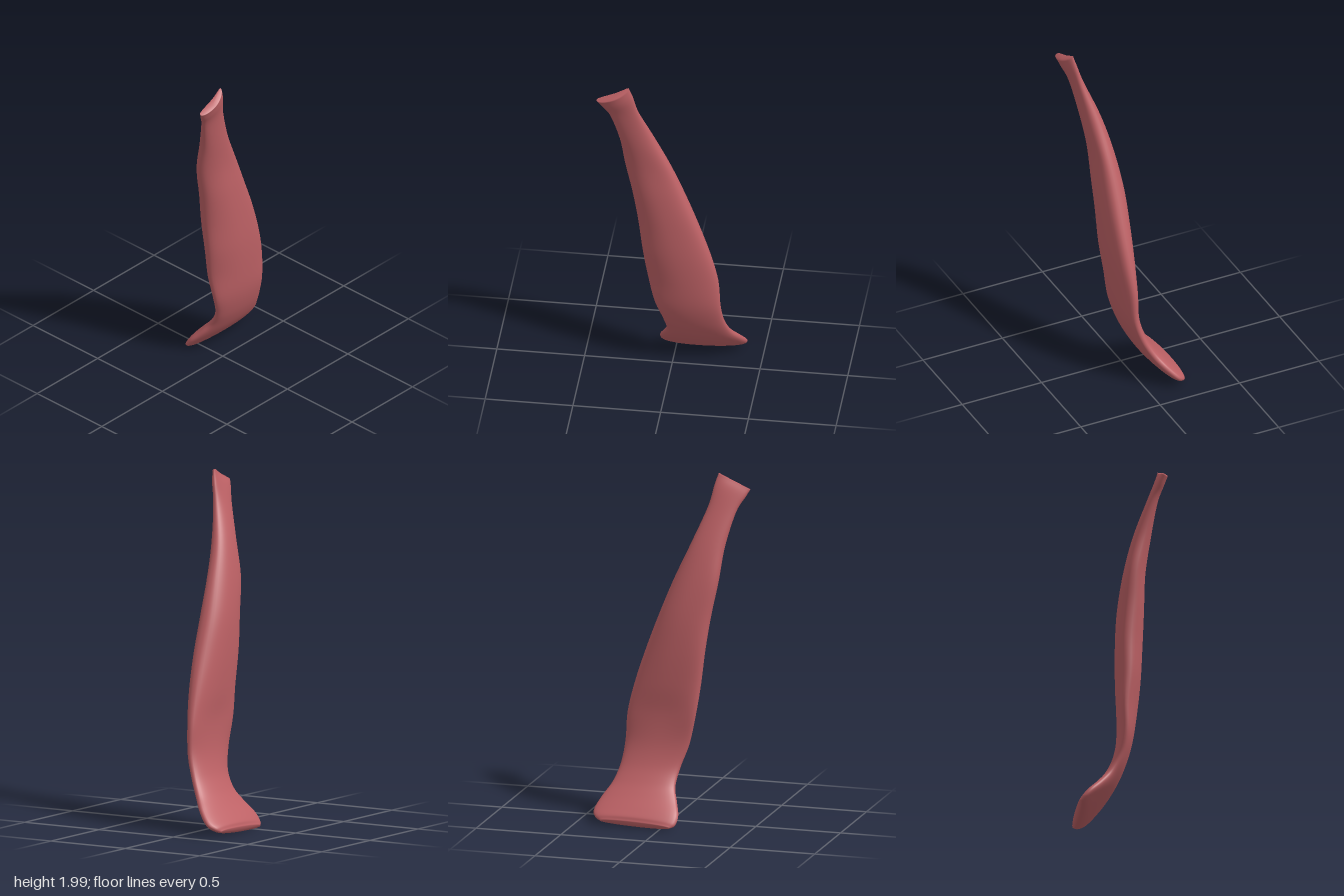
import * as THREE from 'three';

// Cross-sections from the flared foot to the narrow tip:
// mid x, mid y, half thickness, front z, back z, end slope, front edge offset, back edge offset
const SECTIONS = [
  [-0.228, 0.026, 0.018, 0.055, -0.35, 0.008, 0, 0],
  [-0.205, 0.042, 0.036, 0.085, -0.388, 0.008, 0, 0],
  [-0.165, 0.08, 0.042, 0.092, -0.406, 0, 0, 0],
  [-0.105, 0.145, 0.043, 0.066, -0.377, 0, 0, 0],
  [-0.05, 0.22, 0.042, 0.04, -0.33, 0, 0, 0],
  [0, 0.32, 0.041, 0.055, -0.297, 0, 0, 0],
  [0.035, 0.45, 0.045, 0.1, -0.28, 0, -0.01, 0],
  [0.05, 0.62, 0.054, 0.138, -0.268, 0, -0.03, -0.01],
  [0.05, 0.8, 0.07, 0.165, -0.225, 0, -0.02, 0],
  [0.049, 1.0, 0.077, 0.19, -0.16, 0, -0.02, 0.01],
  [0.053, 1.2, 0.076, 0.22, -0.085, 0, -0.01, 0.01],
  [0.067, 1.4, 0.063, 0.26, -0.005, 0, -0.01, 0.01],
  [0.103, 1.6, 0.051, 0.285, 0.085, 0, 0, 0],
  [0.155, 1.8, 0.031, 0.335, 0.17, 0.01, 0, 0],
  [0.192, 1.9, 0.028, 0.38, 0.2, 0.03, -0.005, -0.01],
  [0.217, 1.95, 0.022, 0.405, 0.222, 0.04, -0.012, -0.025],
];

// Smooth curve through three columns of the section list
const track = (a, b, c) => new THREE.CatmullRomCurve3(
  SECTIONS.map((s) => new THREE.Vector3(s[a], s[b], s[c])), false, 'catmullrom', 0.5);

function bellyGeometry(rows = 90, sides = 40) {
  const spine = track(0, 1, 2), edges = track(3, 4, 5), bow = track(6, 7, 7);
  const positions = [], index = [];
  for (let i = 0; i <= rows; i++) {
    const t = i / rows;
    const m = spine.getPoint(t), e = edges.getPoint(t), o = bow.getPoint(t);
    // Thickness runs across the spine in the xy plane
    const d = spine.getTangent(t);
    const len = Math.hypot(d.x, d.y), nx = d.y / len, ny = -d.x / len;
    for (let j = 0; j < sides; j++) {
      const a = (j / sides) * Math.PI * 2;
      const u = Math.cos(a), s = Math.sin(a);
      const bend = u * u * (u > 0 ? o.x : o.y);
      const across = bend + m.z * Math.sign(s) * Math.abs(s) ** 0.85;
      positions.push(
        m.x + nx * across,
        m.y + ny * across - e.z * u,
        (e.x + e.y) / 2 + u * (e.x - e.y) / 2);
    }
  }
  for (let i = 0; i < rows; i++) {
    for (let j = 0; j < sides; j++) {
      const k = (j + 1) % sides;
      const a = i * sides + j, b = i * sides + k;
      index.push(a, b, b + sides, a, b + sides, a + sides);
    }
  }
  // Closed ends, the upper one slightly hollow
  const cap = (row, t, drop, up) => {
    const m = spine.getPoint(t), e = edges.getPoint(t);
    const centre = positions.length / 3;
    positions.push(m.x, m.y - drop, (e.x + e.y) / 2);
    for (let j = 0; j < sides; j++) {
      const a = row * sides + j, b = row * sides + (j + 1) % sides;
      index.push(centre, up ? a : b, up ? b : a);
    }
  };
  cap(0, 0, 0.006, false);
  cap(rows, 1, 0.008, true);

  const geometry = new THREE.BufferGeometry();
  geometry.setAttribute('position', new THREE.Float32BufferAttribute(positions, 3));
  geometry.setIndex(index);
  geometry.computeVertexNormals();
  return geometry;
}

export function createModel() {
  const group = new THREE.Group();
  group.name = 'muscle';
  const flesh = new THREE.MeshStandardMaterial({ color: 0xbd6165 });
  flesh.name = 'flesh red';
  const belly = new THREE.Mesh(bellyGeometry(), flesh);
  belly.name = 'muscleBelly';
  group.add(belly);
  return group;
}
